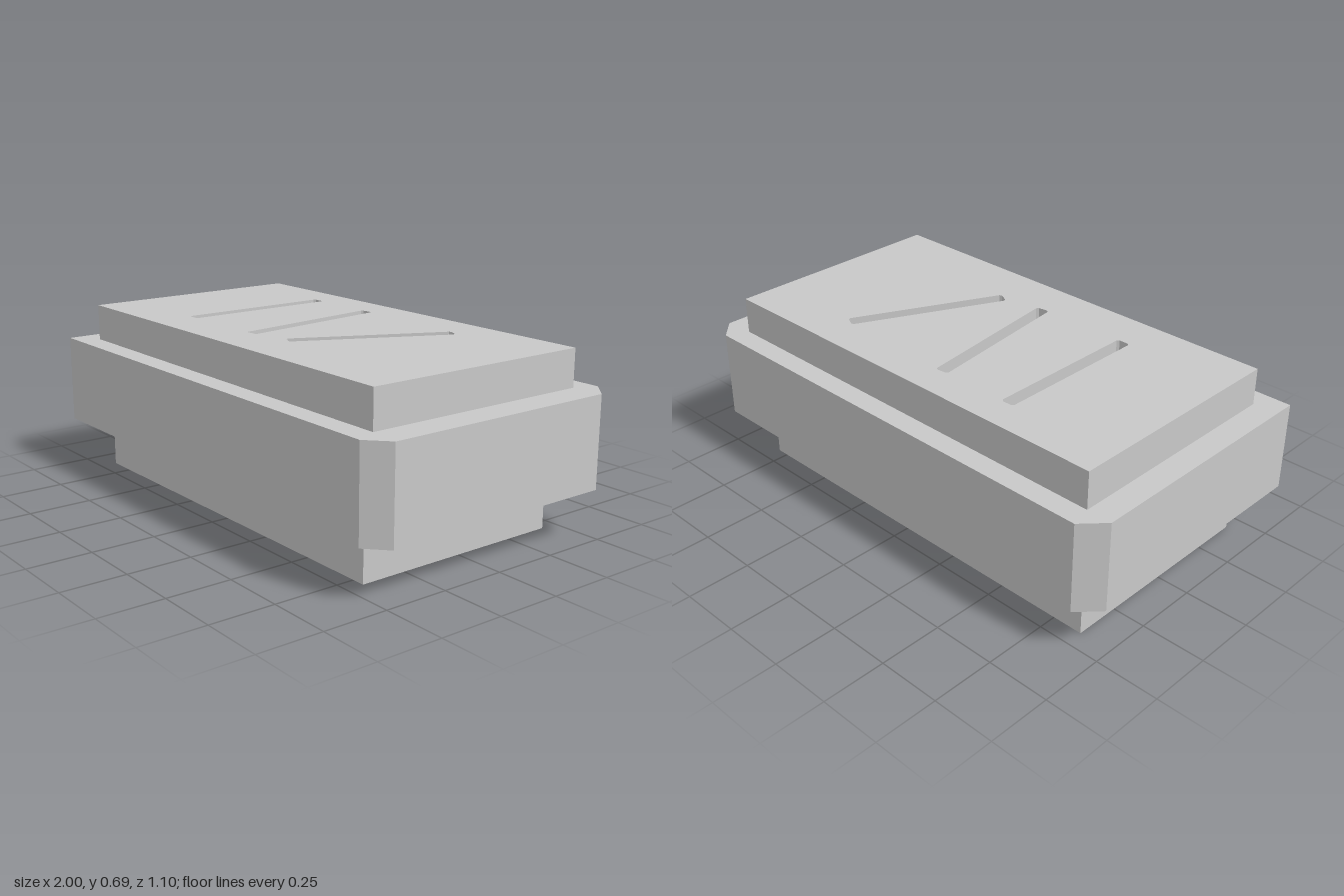
import * as THREE from 'three';

const grey = new THREE.MeshStandardMaterial({ color: 0xc8c8c8 });
grey.name = 'grey';

// Plan points are [x, z]; the shape is raised from y0 to y1.
const toPoints = (plan) => plan.map(([x, z]) => new THREE.Vector2(x, -z));

function slab(name, plan, y0, y1, holes = []) {
  const shape = new THREE.Shape(toPoints(plan));
  for (const hole of holes) shape.holes.push(new THREE.Path(toPoints(hole)));
  const geometry = new THREE.ExtrudeGeometry(shape, { depth: y1 - y0, bevelEnabled: false });
  geometry.rotateX(-Math.PI / 2);
  geometry.translate(0, y0, 0);
  const mesh = new THREE.Mesh(geometry, grey);
  mesh.name = name;
  return mesh;
}

const rectangle = (x0, x1, z0, z1) => [[x0, z0], [x0, z1], [x1, z1], [x1, z0]];

// Narrow slot between two end points, with slightly clipped corners.
function slot(ax, az, bx, bz, width = 0.054, clip = 0.008) {
  const length = Math.hypot(bx - ax, bz - az);
  const ux = (bx - ax) / length, uz = (bz - az) / length;
  const h = width / 2;
  const outline = [
    [0, -h + clip], [clip, -h], [length - clip, -h], [length, -h + clip],
    [length, h - clip], [length - clip, h], [clip, h], [0, h - clip],
  ];
  return outline.map(([s, t]) => [ax + ux * s - uz * t, az + uz * s + ux * t]);
}

export function createModel() {
  const model = new THREE.Group();
  model.name = 'slottedBlock';

  // Base plinth
  model.add(slab('base', rectangle(-0.87, 0.8, -0.43, 0.43), 0, 0.193));

  // Wide body: three corners chamfered, the front one on -x left square
  model.add(slab('body', [
    [-1, 0.55], [0.92, 0.55], [1, 0.475], [1, -0.475],
    [0.92, -0.55], [-0.92, -0.55], [-1, -0.465],
  ], 0.193, 0.545));

  // Raised top with three cut slots
  model.add(slab('top', rectangle(-0.9, 0.88, -0.465, 0.463), 0.545, 0.69, [
    slot(-0.428, -0.337, -0.428, 0.292),
    slot(-0.106, -0.335, -0.028, 0.29),
    slot(0.43, -0.305, 0.156, 0.26),
  ]));

  return model;
}
